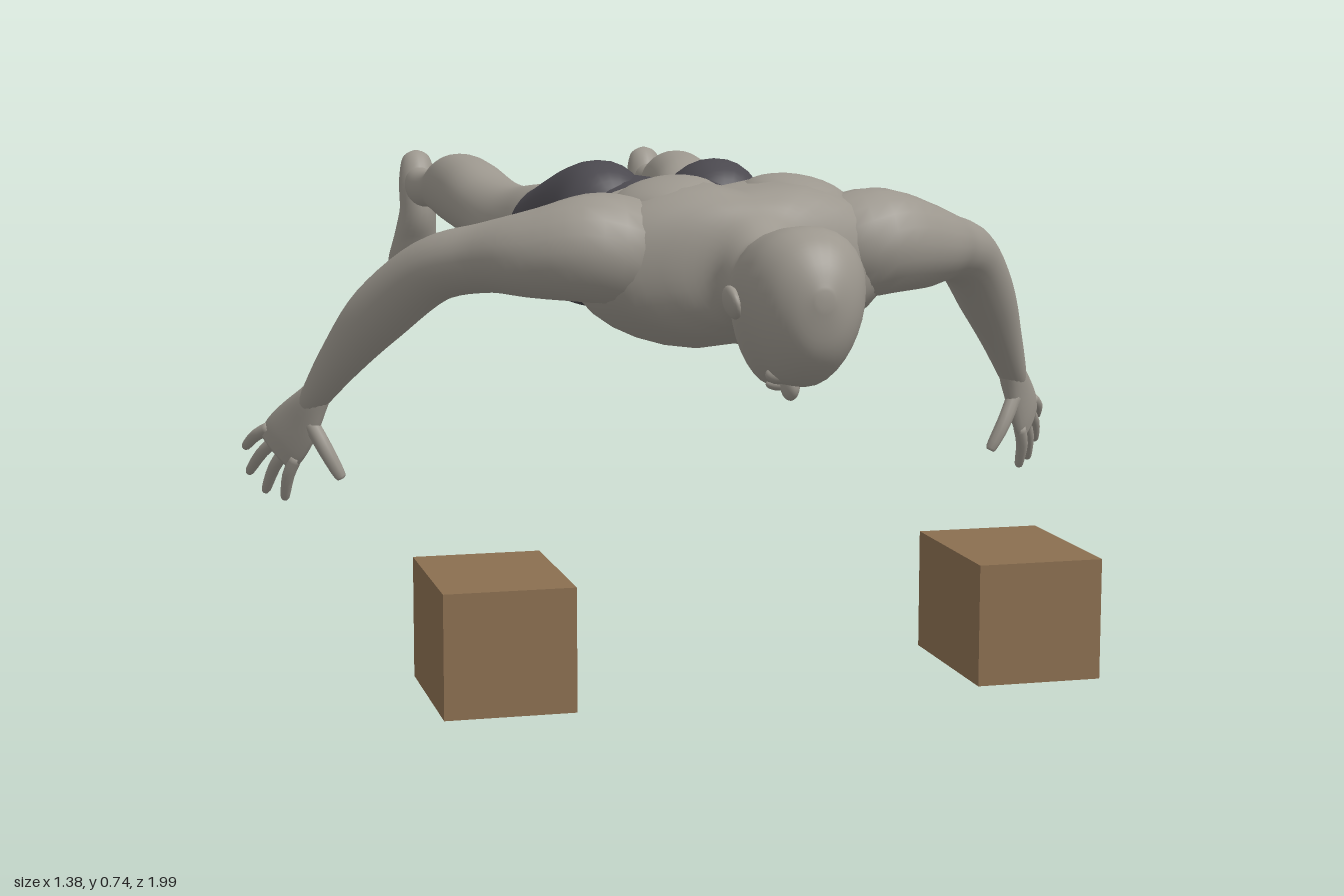
import * as THREE from 'three';

const skin = new THREE.MeshStandardMaterial({ color: 0x9c978e });
skin.name = 'skin';
const shortsCloth = new THREE.MeshStandardMaterial({ color: 0x4b494f });
shortsCloth.name = 'shortsCloth';
const wood = new THREE.MeshStandardMaterial({ color: 0x8a6e50 });
wood.name = 'wood';

const SEG = 32;

// Smoothly resample a list of numeric rows, n steps between neighbours
function smoothRows(rows, n) {
  const out = [];
  const at = (i) => rows[Math.min(Math.max(i, 0), rows.length - 1)];
  for (let i = 0; i < rows.length - 1; i++) {
    for (let k = 0; k < n; k++) {
      const t = k / n, t2 = t * t, t3 = t2 * t;
      out.push(at(i).map((p1, c) => {
        const p0 = at(i - 1)[c], p2 = at(i + 1)[c], p3 = at(i + 2)[c];
        return 0.5 * (2 * p1 + (p2 - p0) * t + (2 * p0 - 5 * p1 + 4 * p2 - p3) * t2 + (3 * p1 - p0 - 3 * p2 + p3) * t3);
      }));
    }
  }
  out.push(rows[rows.length - 1]);
  return out;
}

// Skin a list of closed rings; side = -1 mirrors; isCloth(z) picks the second material
function loft(name, rings, side = 1, isCloth = null) {
  const pos = [], lists = [[], []], n = rings[0].length;
  const centre = (r) => r.reduce((s, p) => s.add(p), new THREE.Vector3()).divideScalar(n);
  const add = (p) => pos.push(p.x * side, p.y, p.z);
  rings.forEach((r) => r.forEach(add));
  add(centre(rings[0]));
  add(centre(rings[rings.length - 1]));
  const first = rings.length * n;
  const tri = (list, a, b, c) => (side > 0 ? list.push(a, b, c) : list.push(a, c, b));
  const pick = (z) => lists[isCloth && isCloth(z) ? 1 : 0];
  for (let i = 0; i < rings.length - 1; i++) {
    const list = pick((rings[i][0].z + rings[i + 1][0].z) / 2);
    for (let j = 0; j < n; j++) {
      const a = i * n + j, b = i * n + (j + 1) % n;
      tri(list, a, b, a + n);
      tri(list, b, b + n, a + n);
    }
  }
  const e = (rings.length - 1) * n;
  for (let j = 0; j < n; j++) {
    const k = (j + 1) % n;
    tri(pick(rings[0][0].z), first, k, j);
    tri(pick(rings[rings.length - 1][0].z), first + 1, e + j, e + k);
  }
  const g = new THREE.BufferGeometry();
  g.setAttribute('position', new THREE.Float32BufferAttribute(pos, 3));
  g.setIndex([...lists[0], ...lists[1]]);
  g.addGroup(0, lists[0].length, 0);
  g.addGroup(lists[0].length, lists[1].length, 1);
  g.computeVertexNormals();
  const mesh = new THREE.Mesh(g, isCloth ? [skin, shortsCloth] : skin);
  mesh.name = name;
  return mesh;
}

// Upright rings along z from rows [z, centre x, half width, bottom y, top y, taper, groove]
function bodyRings(rows) {
  return smoothRows(rows, 5).map(([z, cx, w, yb, yt, taper = 0, groove = 0]) => {
    const ring = [];
    for (let j = 0; j < SEG; j++) {
      const t = (j / SEG) * Math.PI * 2, c = Math.cos(t), s = Math.sin(t);
      const x = -w * Math.sign(c) * Math.abs(c) ** 0.9 * (1 + taper * s);
      const dent = groove * Math.exp(-((x / 0.04) ** 2)) * (s > 0 ? -1 : 0.5) * Math.abs(s);
      ring.push(new THREE.Vector3(cx + x, (yb + yt) / 2 + ((yt - yb) / 2) * s + dent, z));
    }
    return ring;
  });
}

// Rings square to a path from rows [x, y, z, radius along sideDir, other radius]
function limbRings(rows, sideDir, seg = 20, steps = 5) {
  const r = smoothRows(rows, steps), P = r.map((q) => new THREE.Vector3(q[0], q[1], q[2]));
  return r.map((q, i) => {
    const T = P[Math.min(i + 1, P.length - 1)].clone().sub(P[Math.max(i - 1, 0)]).normalize();
    const a = sideDir.clone().addScaledVector(T, -sideDir.dot(T)).normalize();
    const b = T.clone().cross(a);
    return Array.from({ length: seg }, (_, j) => {
      const t = (j / seg) * Math.PI * 2;
      return P[i].clone().addScaledVector(a, q[3] * Math.cos(t)).addScaledVector(b, q[4] * Math.sin(t));
    });
  });
}

// Finger or toe: round-ended tapering limb through three points
function digit(name, a, b, c, r, sideDir, side) {
  const tip = c.map((v, i) => v + (c[i] - b[i]) * 0.06);
  const rows = [[...a, r, r], [...b, r * 0.95, r * 0.95], [...c, r * 0.7, r * 0.7], [...tip, r * 0.15, r * 0.15]];
  return loft(name, limbRings(rows, sideDir, 10, 3), side);
}

function blob(name, p, s, rotZ = 0) {
  const m = new THREE.Mesh(new THREE.SphereGeometry(1, 20, 14), skin);
  m.name = name;
  m.position.set(...p);
  m.scale.set(...s);
  m.rotation.z = rotZ;
  return m;
}

export function createModel() {
  const model = new THREE.Group();
  model.name = 'pushUpFigure';

  // Head, neck, trunk and hips in one skin
  const trunk = [
    [0.998, 0, 0.012, 0.585, 0.61, 0, 0], [0.985, 0, 0.042, 0.53, 0.645, 0.05, 0],
    [0.96, 0, 0.066, 0.495, 0.675, 0.12, 0], [0.92, 0, 0.081, 0.47, 0.689, 0.2, 0],
    [0.87, 0, 0.083, 0.463, 0.685, 0.25, 0], [0.82, 0, 0.077, 0.458, 0.675, 0.25, 0],
    [0.775, 0, 0.068, 0.45, 0.665, 0.2, 0], [0.75, 0, 0.062, 0.465, 0.66, 0.1, 0],
    [0.73, 0, 0.06, 0.51, 0.66, 0, 0], [0.69, 0, 0.075, 0.525, 0.685, 0, 0],
    [0.66, 0, 0.14, 0.515, 0.71, 0, 0.005], [0.62, 0, 0.215, 0.495, 0.728, 0, 0.014],
    [0.55, 0, 0.245, 0.473, 0.733, 0, 0.018], [0.48, 0, 0.24, 0.472, 0.73, 0, 0.016],
    [0.4, 0, 0.205, 0.48, 0.718, 0, 0.014], [0.3, 0, 0.168, 0.486, 0.703, 0, 0.012],
    [0.23, 0, 0.162, 0.49, 0.695, 0, 0.01], [0.18, 0, 0.168, 0.49, 0.702, 0, 0.01],
    [0.1, 0, 0.188, 0.487, 0.712, 0, 0.012], [0.03, 0, 0.16, 0.495, 0.685, 0, 0.01],
    [-0.025, 0, 0.06, 0.53, 0.64, 0, 0],
  ];
  model.add(loft('headAndTrunk', bodyRings(trunk), 1, (z) => z < 0.18));

  // Face
  model.add(blob('nose', [0, 0.46, 0.84], [0.013, 0.022, 0.022]));
  model.add(blob('lips', [0, 0.456, 0.797], [0.023, 0.01, 0.011]));

  const leg = [
    [0.17, 0.09, 0.045, 0.54, 0.68], [0.14, 0.098, 0.08, 0.498, 0.715], [0.08, 0.099, 0.093, 0.487, 0.73],
    [0, 0.107, 0.099, 0.485, 0.715], [-0.1, 0.125, 0.094, 0.49, 0.682], [-0.2, 0.138, 0.079, 0.49, 0.672],
    [-0.3, 0.16, 0.071, 0.51, 0.662], [-0.4, 0.181, 0.065, 0.545, 0.67], [-0.5, 0.2, 0.063, 0.56, 0.695],
    [-0.6, 0.21, 0.06, 0.57, 0.702], [-0.7, 0.215, 0.05, 0.577, 0.687], [-0.8, 0.222, 0.034, 0.585, 0.66],
    [-0.88, 0.233, 0.031, 0.582, 0.654], [-0.95, 0.236, 0.028, 0.59, 0.66],
  ];
  const foot = [
    [0.235, 0.686, -0.967, 0.008, 0.008], [0.235, 0.673, -0.963, 0.027, 0.026], [0.235, 0.63, -0.952, 0.036, 0.045],
    [0.235, 0.57, -0.945, 0.036, 0.05], [0.238, 0.52, -0.956, 0.042, 0.04], [0.241, 0.47, -0.969, 0.051, 0.027],
    [0.24, 0.437, -0.976, 0.049, 0.019], [0.24, 0.424, -0.978, 0.042, 0.011],
  ];
  const arm = [
    [0.13, 0.62, 0.565, 0.06, 0.075], [0.21, 0.633, 0.575, 0.085, 0.082], [0.29, 0.623, 0.535, 0.08, 0.068],
    [0.36, 0.612, 0.465, 0.062, 0.053], [0.43, 0.587, 0.39, 0.052, 0.05], [0.5, 0.512, 0.3, 0.046, 0.049],
    [0.55, 0.437, 0.24, 0.034, 0.036], [0.585, 0.375, 0.2, 0.025, 0.024], [0.595, 0.355, 0.187, 0.02, 0.02],
  ];
  const palm = [
    [0.578, 0.388, 0.207, 0.02, 0.018], [0.59, 0.365, 0.193, 0.028, 0.021], [0.61, 0.33, 0.172, 0.041, 0.018],
    [0.63, 0.297, 0.15, 0.047, 0.015], [0.643, 0.276, 0.137, 0.042, 0.01],
  ];
  const across = new THREE.Vector3(0.53, 0.63, -0.57).normalize();
  const xDir = new THREE.Vector3(1, 0, 0);
  const fingerTips = [[0.685, 0.275, 0.07], [0.68, 0.235, 0.075], [0.657, 0.208, 0.1], [0.63, 0.2, 0.13]];

  for (const s of [1, -1]) {
    const side = s > 0 ? 'left' : 'right';
    const add = (m) => model.add(m);

    // Shoulder blade, ear and eyelid
    add(blob(side + 'ShoulderBlade', [s * 0.1, 0.694, 0.53], [0.085, 0.04, 0.1], -s * 0.15));
    add(blob(side + 'Ear', [s * 0.087, 0.58, 0.848], [0.011, 0.024, 0.033], -s * 0.2));
    add(blob(side + 'Eyelid', [s * 0.03, 0.481, 0.876], [0.017, 0.012, 0.011]));

    // Leg with half of the shorts, foot and toes
    add(loft(side + 'Leg', bodyRings(leg), s, (z) => z > -0.1));
    add(loft(side + 'Foot', limbRings(foot, xDir), s));
    for (let i = 0; i < 5; i++) {
      const x = [0.204, 0.226, 0.244, 0.26, 0.276][i], y = 0.393 + 0.0015 * i * i + 0.003 * i;
      add(digit(side + 'Toe', [x, y + 0.05, -0.974], [x, y + 0.025, -0.976], [x, y + 0.004, -0.984],
        i ? 0.0095 : 0.014, xDir, s));
    }

    // Arm, palm, fingers and thumb
    add(loft(side + 'Arm', limbRings(arm, new THREE.Vector3(1, 0, 1)), s));
    add(loft(side + 'Palm', limbRings(palm, across), s));
    fingerTips.forEach((tip, i) => {
      const base = new THREE.Vector3(0.633, 0.292, 0.147).addScaledVector(across, 0.034 - i * 0.0227).toArray();
      const mid = base.map((v, k) => (v + tip[k]) / 2 + [0.004, 0.003, 0.003][k]);
      add(digit(side + 'Finger', base, mid, tip, 0.0105, across, s));
    });
    add(digit(side + 'Thumb', [0.598, 0.335, 0.19], [0.572, 0.285, 0.203], [0.55, 0.243, 0.203], 0.013, across, s));

    // Wooden block
    const block = new THREE.Mesh(new THREE.BoxGeometry(0.19, 0.18, 0.26), wood);
    block.name = side + 'Block';
    block.position.set(s * 0.395, 0.09, 0.68);
    add(block);
  }
  return model;
}
